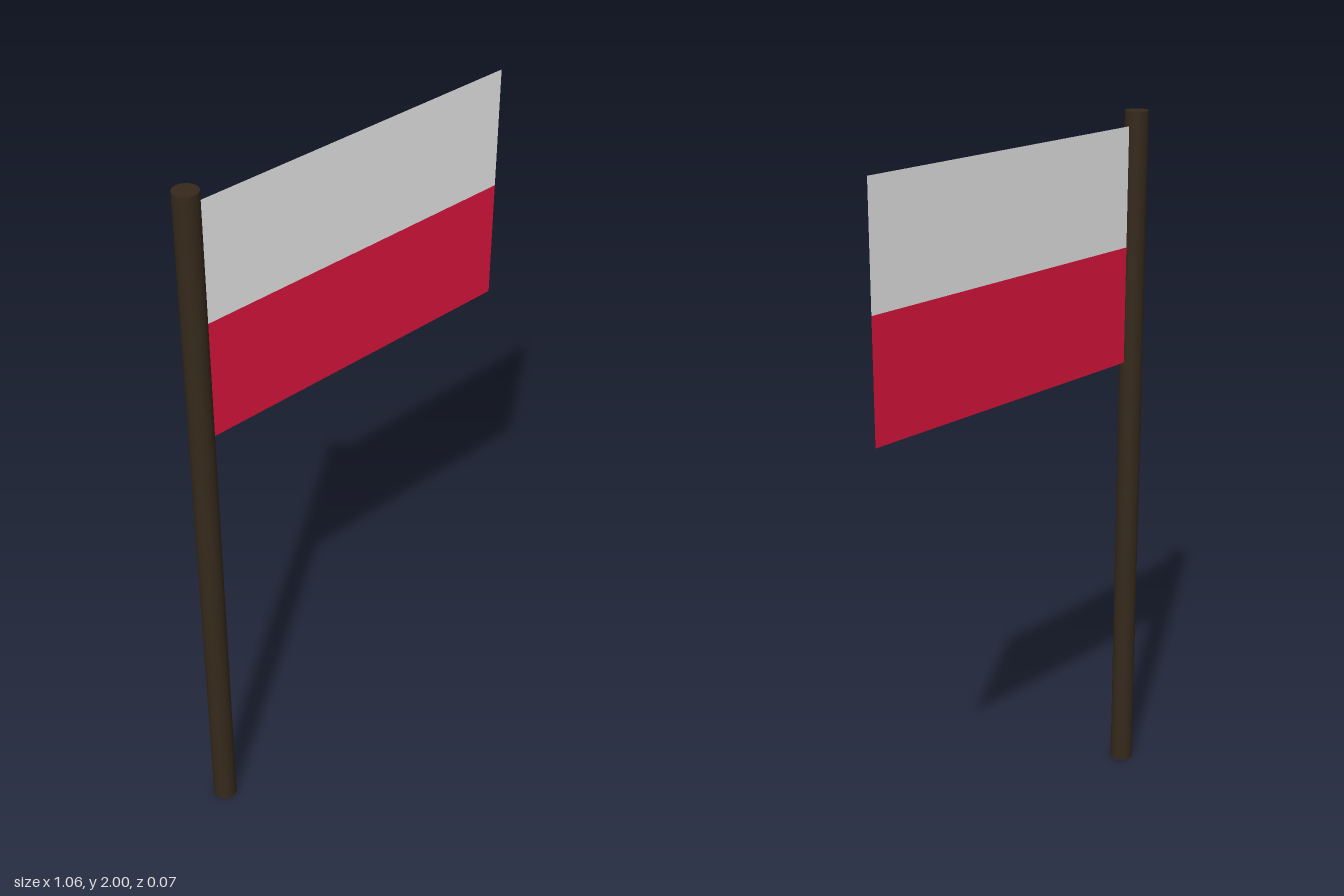
import * as THREE from 'three';

export function createModel() {
  const model = new THREE.Group();
  model.name = 'flag';

  const darkWood = new THREE.MeshStandardMaterial({ color: 0x35291b, name: 'dark wood' });
  const white = new THREE.MeshStandardMaterial({ color: 0xe7e7e7, name: 'white cloth', side: THREE.DoubleSide });
  const red = new THREE.MeshStandardMaterial({ color: 0xdc143c, name: 'red cloth', side: THREE.DoubleSide });

  // Round pole with flat caps
  const radius = 0.033, poleX = -0.497;
  const pole = new THREE.Mesh(new THREE.CylinderGeometry(radius, radius, 2, 32), darkWood);
  pole.name = 'pole';
  pole.position.set(poleX, 1, 0);
  model.add(pole);

  // Two flat cloth bands, tucked just inside the pole
  const left = -0.47, right = 0.53;
  const addBand = (name, bottom, top, material) => {
    const band = new THREE.Mesh(new THREE.PlaneGeometry(right - left, top - bottom), material);
    band.name = name;
    band.position.set((left + right) / 2, (bottom + top) / 2, 0);
    model.add(band);
  };
  addBand('upperBand', 1.625, 1.96, white);
  addBand('lowerBand', 1.29, 1.625, red);

  return model;
}
